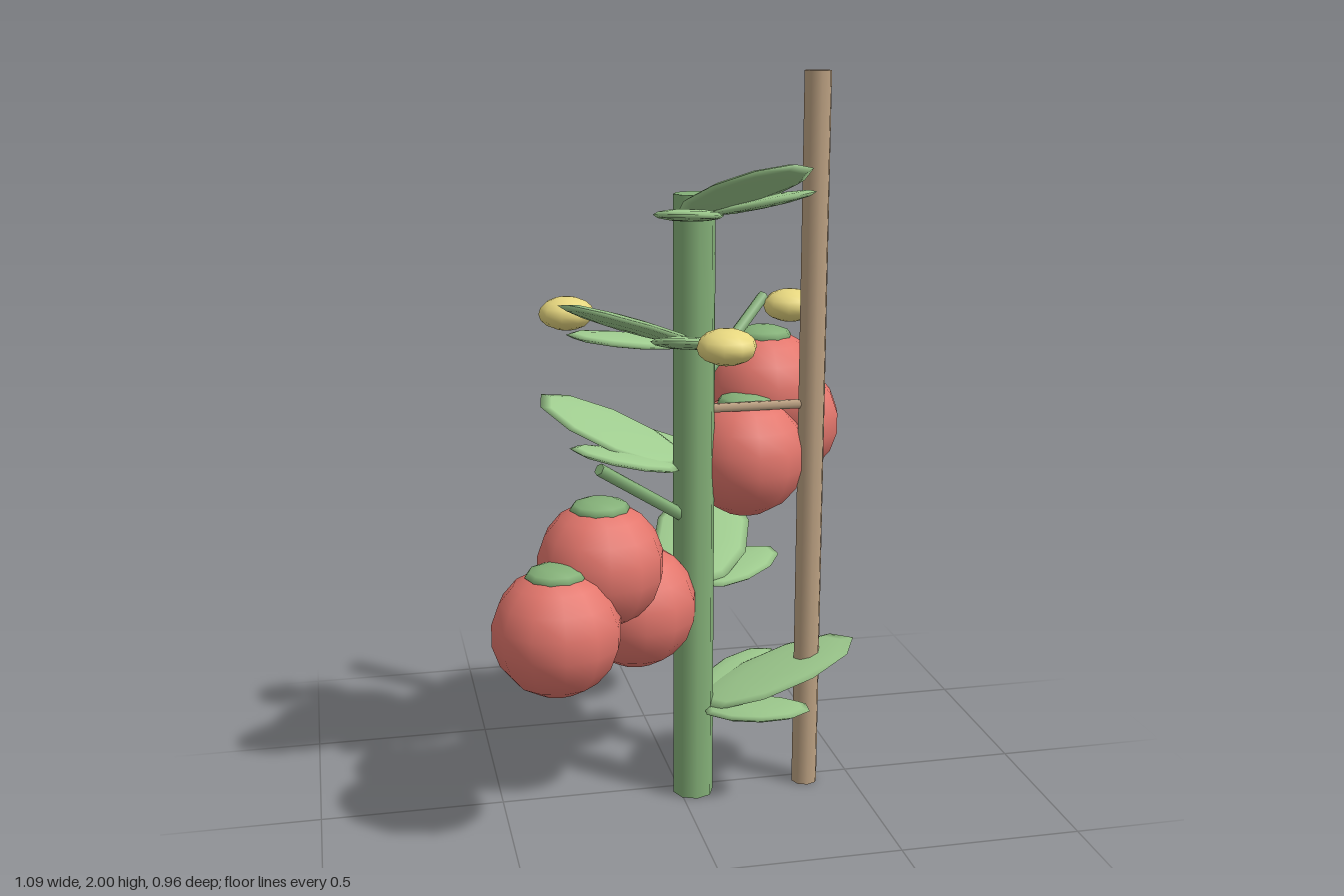
import * as THREE from 'three';

const mat = (color) => new THREE.MeshStandardMaterial({ color });
const STEM_X = 0.037, STEM_Z = 0.037;

export function createModel() {
  const plant = new THREE.Group();
  plant.name = 'tomatoPlant';
  const stemGreen = mat(0x84b078), leafGreen = mat(0x9fcc8f), red = mat(0xe3766c);
  const yellow = mat(0xe8d880), wood = mat(0xbda283);

  const add = (parent, name, geometry, material, x, y, z) => {
    const mesh = new THREE.Mesh(geometry, material);
    mesh.name = name;
    mesh.position.set(x, y, z);
    parent.add(mesh);
    return mesh;
  };

  // Straight rod between two points
  const rod = (name, from, to, radius, material, sides = 8) => {
    const a = new THREE.Vector3(...from), b = new THREE.Vector3(...to);
    const mid = a.clone().add(b).multiplyScalar(0.5);
    const mesh = add(plant, name, new THREE.CylinderGeometry(radius, radius, a.distanceTo(b), sides), material, mid.x, mid.y, mid.z);
    mesh.quaternion.setFromUnitVectors(new THREE.Vector3(0, 1, 0), b.sub(a).normalize());
  };

  // Main stem, support stake and the tie between them
  rod('stem', [STEM_X, 0, STEM_Z], [STEM_X, 1.69, STEM_Z], 0.057, stemGreen);
  rod('stake', [0.365, 0, STEM_Z], [0.365, 2, STEM_Z], 0.037, wood);
  rod('stakeTie', [STEM_X, 1.115, STEM_Z], [0.365, 1.115, STEM_Z], 0.013, wood, 6);

  // Leaflet: flattened ellipsoid reaching outwards and upwards from its node
  const leafBlob = new THREE.SphereGeometry(1, 10, 6);
  const leaflet = (parent, name, yaw, pitch, halfLength, halfWidth, reach) => {
    const pivot = new THREE.Group();
    pivot.rotation.set(0, yaw, pitch); // XYZ order: pitch first, then yaw
    const mesh = add(pivot, name, leafBlob, leafGreen, reach, 0, 0);
    mesh.scale.set(halfLength, 0.016, halfWidth);
    parent.add(pivot);
  };

  // Five three-part leaves spiralling up the stem
  for (let i = 0; i < 5; i++) {
    const leaf = new THREE.Group();
    leaf.name = 'leaf';
    leaf.position.set(STEM_X, 0.255 + i * 0.344, STEM_Z);
    leaf.rotation.y = (i * Math.PI * 2) / 5;
    leaflet(leaf, 'mainLeaflet', 0, 0.35, 0.24, 0.14, 0.255);
    leaflet(leaf, 'sideLeaflet', 0.61, 0.23, 0.157, 0.09, 0.19);
    leaflet(leaf, 'sideLeaflet', -0.61, 0.13, 0.157, 0.09, 0.19);
    plant.add(leaf);
  }

  // Fruit trusses: a stalk and three capped tomatoes each
  const fruit = new THREE.SphereGeometry(0.17, 12, 9);
  const cap = new THREE.SphereGeometry(0.08, 10, 6).scale(1, 0.35, 1);
  const trusses = [
    { from: 0.8, tip: [-0.245, 1.0, 0.175], fruits: [[-0.245, 0.745, 0.178], [-0.38, 0.61, 0.295], [-0.135, 0.587, 0.077]] },
    { from: 1.165, tip: [0.28, 1.38, -0.165], fruits: [[0.28, 1.12, -0.16], [0.38, 0.985, -0.315], [0.2, 0.96, -0.04]] },
  ];
  for (const { from, tip, fruits } of trusses) {
    rod('trussStalk', [STEM_X, from, STEM_Z], tip, 0.017, stemGreen, 6);
    for (const [x, y, z] of fruits) {
      add(plant, 'tomato', fruit, red, x, y, z);
      add(plant, 'tomatoCap', cap, stemGreen, x, y + 0.151, z);
    }
  }

  // Ring of three flower buds
  const bud = new THREE.SphereGeometry(0.076, 10, 8).scale(1, 0.6, 1);
  for (let i = 0; i < 3; i++) {
    const a = Math.PI / 2 + (i * Math.PI * 2) / 3;
    add(plant, 'flowerBud', bud, yellow, STEM_X + 0.363 * Math.cos(a), 1.355, STEM_Z + 0.363 * Math.sin(a));
  }

  return plant;
}
